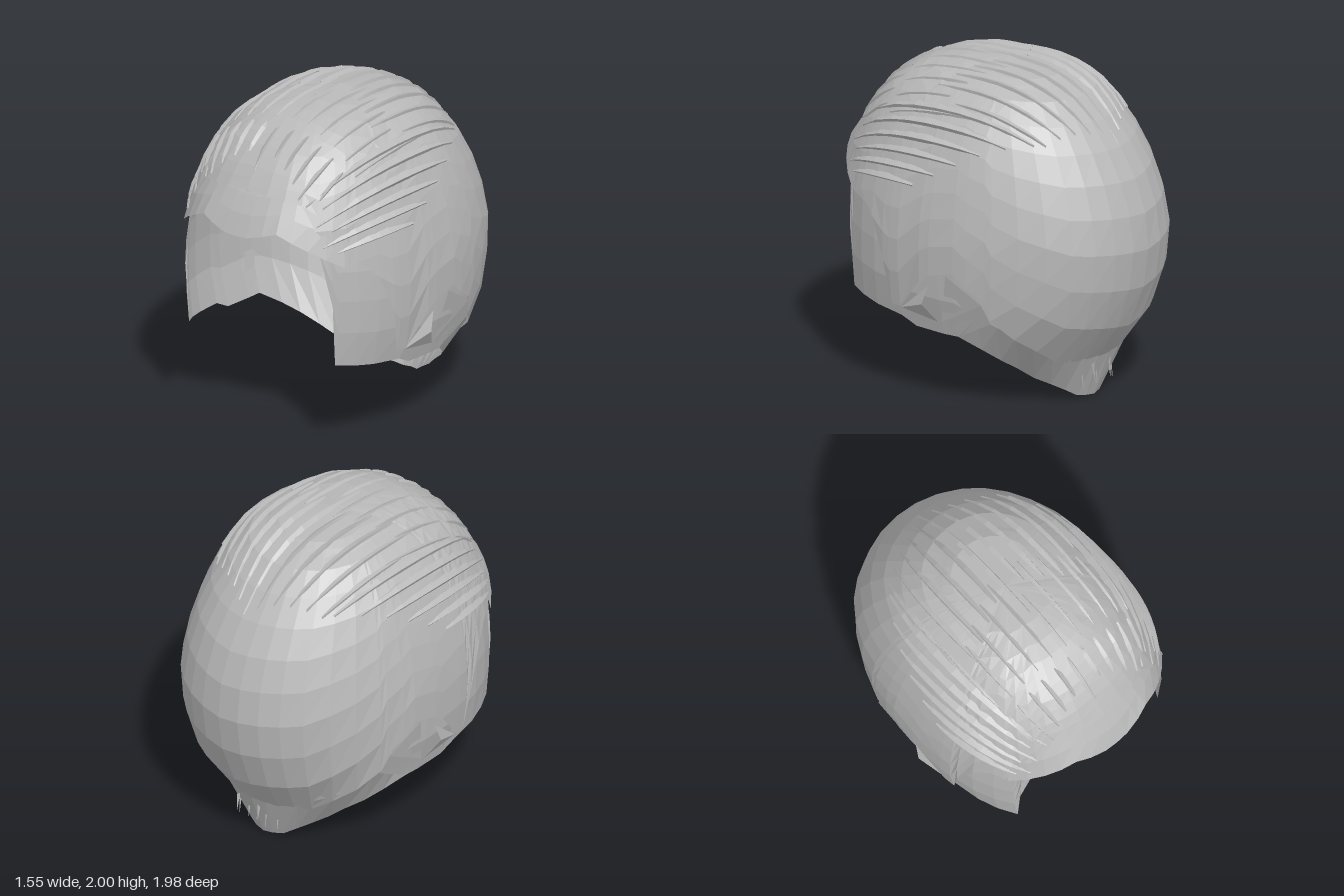
import * as THREE from 'three';

const hair = new THREE.MeshStandardMaterial({ color: 0xb8b8b8, flatShading: true, side: THREE.DoubleSide });
hair.name = 'hair grey';

// Head slices: height, half width, front depth, back depth
const SLICES = [
  [0, 0.34, 1, 0.615], [0.2, 0.48, 1, 0.65], [0.3, 0.58, 1, 0.73], [0.45, 0.69, 1, 0.84], [0.6, 0.745, 1, 0.92],
  [0.8, 0.77, 1, 0.975], [1.05, 0.775, 1, 1], [1.2, 0.755, 1, 0.97], [1.4, 0.715, 0.97, 0.9], [1.6, 0.65, 0.87, 0.78],
  [1.7, 0.6, 0.8, 0.7], [1.8, 0.53, 0.71, 0.61], [1.88, 0.44, 0.6, 0.51], [1.93, 0.36, 0.5, 0.41],
  [1.97, 0.23, 0.36, 0.28], [1.985, 0.13, 0.24, 0.16], [1.992, 0.002, 0.002, 0.002],
];
const TOP = 1.992, NF = 2.4, NB = 2.1;

function slice(y) {
  const c = THREE.MathUtils.clamp(y, 0, TOP);
  let i = 1;
  while (i < SLICES.length - 1 && SLICES[i][0] < c) i++;
  const a = SLICES[i - 1], b = SLICES[i], t = (c - a[0]) / (b[0] - a[0]);
  return [1, 2, 3].map((k) => a[k] + (b[k] - a[k]) * t);
}

// Point on the head at an angle (0 front, PI back) and height
function headPoint(angle, y, scale = 1) {
  const [w, f, b] = slice(y), c = Math.cos(angle), s = Math.sin(angle);
  const p = 2 / (c > 0 ? NF : NB);
  return [
    Math.sign(s) * Math.pow(Math.abs(s), p) * w * scale, y,
    (c > 0 ? f : -b) * Math.pow(Math.abs(c), p) * scale,
  ];
}

function angleAt(z, y) {
  const [, f, b] = slice(y);
  return z >= 0
    ? Math.acos(Math.pow(Math.min(1, z / f), NF / 2))
    : Math.PI - Math.acos(Math.pow(Math.min(1, -z / b), NB / 2));
}

function mesh(name, positions, index) {
  const g = new THREE.BufferGeometry();
  g.setAttribute('position', new THREE.Float32BufferAttribute(positions, 3));
  if (index) g.setIndex(index);
  g.computeVertexNormals();
  const m = new THREE.Mesh(g, hair);
  m.name = name;
  return m;
}

// Shell from yTop down to a mirrored hem given as [z, y] points from front to back
function shell(name, hem, { yTop = TOP, rows = 10, scaleTop = 1, scaleHem = 1 } = {}) {
  const half = [];
  const pts = hem.map(([z, y]) => [angleAt(z, y), y]);
  pts.forEach(([a, y], i) => {
    if (i) {
      const [pa, py] = pts[i - 1], n = Math.max(1, Math.round((a - pa) / 0.16));
      for (let k = 1; k < n; k++) half.push([pa + ((a - pa) * k) / n, py + ((y - py) * k) / n]);
    }
    half.push([a, y]);
  });
  const cols = [...half.slice(1).reverse().map(([a, y]) => [-a, y]), ...half];
  const pos = [], index = [];
  cols.forEach(([a, y]) => {
    for (let r = 0; r <= rows; r++) {
      const t = r / rows;
      pos.push(...headPoint(a, yTop - (yTop - y) * Math.pow(t, 1.6), scaleTop + (scaleHem - scaleTop) * t));
    }
  });
  for (let c = 0; c < cols.length - 1; c++) {
    for (let r = 0; r < rows; r++) {
      const i = c * (rows + 1) + r, j = i + rows + 1;
      index.push(i, i + 1, j, j, i + 1, j + 1);
    }
  }
  return mesh(name, pos, index);
}

// Surface point found by roll angle about the front-back axis
function rollPoint(roll, z, lift) {
  let lo = 0, hi = 1.6;
  for (let k = 0; k < 24; k++) {
    const r = (lo + hi) / 2, y = 1 + r * Math.cos(roll), [w, f, b] = slice(y);
    const n = z > 0 ? NF : NB;
    const inside = y < TOP && Math.pow(Math.abs(r * Math.sin(roll)) / w, n) + Math.pow(Math.abs(z) / (z > 0 ? f : b), n) < 1;
    if (inside) lo = r; else hi = r;
  }
  const r = lo + lift;
  return [r * Math.sin(roll), 1 + r * Math.cos(roll), z];
}

// Thin raised lock: a tapering wedge lying on the head
function lock(name, rollFront, rollBack, zFront, zBack, height, width) {
  const n = 8, pos = [], index = [], side = Math.sign(rollBack) || 1;
  for (let i = 0; i <= n; i++) {
    const t = i / n, z = zFront + (zBack - zFront) * t, roll = rollFront + (rollBack - rollFront) * t;
    const taper = Math.pow(Math.sin(Math.PI * (0.04 + 0.92 * t)), 0.6);
    pos.push(
      ...rollPoint(roll - side * width * taper, z, -0.004),
      ...rollPoint(roll, z, height * taper),
      ...rollPoint(roll + side * 0.008, z, -0.006),
    );
    if (i < n) {
      const a = i * 3, b = a + 3;
      index.push(a, b, a + 1, a + 1, b, b + 1, a + 1, b + 1, a + 2, a + 2, b + 1, b + 2);
    }
  }
  return mesh(name, pos, index);
}

export function createModel() {
  const model = new THREE.Group();
  model.name = 'hairpiece';

  // Outer hair with raised front edge and ear notches
  model.add(shell('outerHair', [
    [0.87, 1.6], [0.8, 1.56], [0.8, 1.42], [0.74, 1.32], [0.68, 1.18], [0.62, 1.22], [0.5, 1.1], [0.4, 0.85],
    [0.35, 0.58], [0.28, 0.58], [0.12, 0.78], [0.05, 0.83], [-0.12, 0.87], [-0.2, 0.79], [-0.31, 0.72],
    [-0.34, 0.6], [-0.45, 0.48], [-0.58, 0.3], [-0.65, 0.2],
  ]));

  // Inner layer forming the sideburns and the nape
  model.add(shell('innerHair', [
    [0.97, 1.42], [0.84, 1.36], [0.81, 1.3], [0.77, 0.95], [0.74, 0.57], [0.5, 0.53], [0.3, 0.51], [0.2, 0.46],
    [0, 0.45], [-0.1, 0.45], [-0.22, 0.37], [-0.42, 0.16], [-0.58, 0.02], [-0.615, 0],
  ], { yTop: 1.93, scaleTop: 0.95, scaleHem: 0.985 }));

  // Fringe band tucked under the front edge
  model.add(shell('fringe', [
    [0.99, 1.34], [0.976, 1.345], [0.93, 1.4], [0.85, 1.31], [0.7, 1.2],
  ], { yTop: 1.68, rows: 4, scaleTop: 0.95, scaleHem: 1.01 }));

  // Long locks over the crown
  for (let i = -5; i <= 5; i++) {
    const roll = i * 0.115, wave = (Math.abs(i * 7) % 4) * 0.06;
    model.add(lock('crownLock', roll * 0.95, roll, 0.22 - wave, -0.78 + Math.abs(i) * 0.045, 0.014, 0.03));
    model.add(lock('midLock', roll * 1.05 + 0.04, roll + 0.04, 0.5, 0.1 - wave, 0.01, 0.02));
    model.add(lock('frontLock', roll * 1.1, roll, 0.8 - wave * 0.4, 0.55, 0.016, 0.03));
  }

  for (const s of [-1, 1]) {
    // Swept locks at the temples
    for (let i = 0; i < 6; i++) {
      const roll = 0.62 + i * 0.1;
      model.add(lock('templeLock', s * (roll - 0.02), s * roll, 0.79 - (i % 2) * 0.06, -0.5 + i * 0.14, 0.022, 0.05));
    }

    // Folded flaps around the ear notch
    const at = (z, y, k) => {
      const p = headPoint(angleAt(z, y), y, k);
      return [s * p[0], y, z];
    };
    model.add(mesh('earFlap', [
      ...at(0.28, 0.57, 0.99), ...at(0.1, 0.64, 1.03), ...at(0.06, 0.76, 0.99),
      ...at(0.28, 0.57, 0.99), ...at(0.02, 0.53, 0.99), ...at(0.1, 0.64, 1.03),
      ...at(0, 0.53, 0.98), ...at(-0.07, 0.85, 1.0), ...at(-0.3, 0.7, 1.01),
      ...at(0, 0.53, 0.98), ...at(-0.3, 0.7, 1.01), ...at(-0.34, 0.58, 1.0),
      ...at(0, 0.53, 0.98), ...at(-0.34, 0.58, 1.0), ...at(-0.12, 0.46, 0.98),
    ]));
  }

  // Loose wisps at the nape
  for (let i = 0; i < 7; i++) {
    const x = -0.14 + i * 0.05 + (i % 2) * 0.015, z = -0.62 - (i % 3) * 0.03, low = 0.06 + (i % 3) * 0.03;
    model.add(mesh('napeWisp', [
      x - 0.008, 0.24, z, x + 0.008, 0.24, z - 0.01, x, low, z - 0.02,
      x, 0.24, z + 0.01, x, 0.24, z - 0.012, x, low, z - 0.02,
    ]));
  }
  return model;
}
